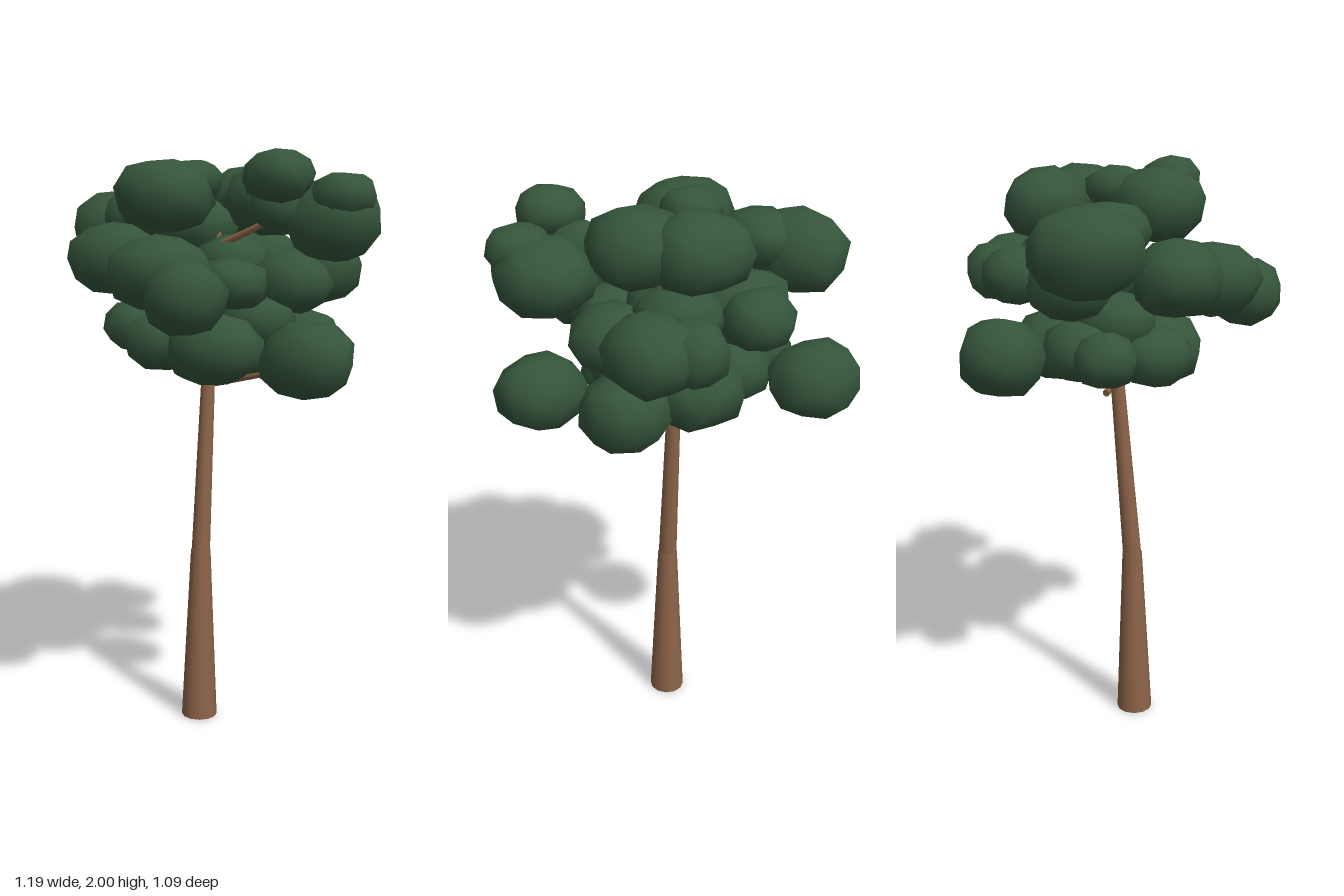
import * as THREE from 'three';
import { mergeVertices } from 'three/addons/utils/BufferGeometryUtils.js';

// Small seeded random generator
function seeded(seed) {
  let s = seed;
  return () => {
    s = (s * 16807) % 2147483647;
    return s / 2147483647;
  };
}

// Lumpy, slightly boxy low-poly ball with smooth normals
function clumpGeometry(random) {
  let geo = new THREE.IcosahedronGeometry(1, 1);
  geo.deleteAttribute('normal');
  geo.deleteAttribute('uv');
  geo = mergeVertices(geo, 1e-3);
  const turn = new THREE.Euler(random() * 6, random() * 6, random() * 6);
  const p = geo.attributes.position;
  const v = new THREE.Vector3();
  const power = 2.3;
  for (let i = 0; i < p.count; i++) {
    v.fromBufferAttribute(p, i).applyEuler(turn);
    const norm = Math.abs(v.x) ** power + Math.abs(v.y) ** power + Math.abs(v.z) ** power;
    v.multiplyScalar((0.94 + random() * 0.13) / norm ** (1 / power));
    p.setXYZ(i, v.x, v.y, v.z);
  }
  return geo;
}

// Tapered round limb between two points
function limb(name, from, to, r0, r1, material, sides = 12) {
  const a = new THREE.Vector3(...from);
  const b = new THREE.Vector3(...to);
  const dir = b.clone().sub(a);
  const mesh = new THREE.Mesh(new THREE.CylinderGeometry(r1, r0, dir.length(), sides), material);
  mesh.name = name;
  mesh.position.copy(a).add(b).multiplyScalar(0.5);
  mesh.quaternion.setFromUnitVectors(new THREE.Vector3(0, 1, 0), dir.normalize());
  return mesh;
}

export function createModel() {
  const tree = new THREE.Group();
  tree.name = 'tree';
  const bark = new THREE.MeshStandardMaterial({ name: 'bark brown', color: 0x8d6449 });
  const leaf = new THREE.MeshStandardMaterial({ name: 'leaf green', color: 0x35553b });

  // Trunk in three slightly bent sections
  tree.add(
    limb('lowerTrunk', [-0.025, 0.003, 0.042], [-0.023, 0.63, 0.032], 0.064, 0.035, bark),
    limb('middleTrunk', [-0.023, 0.62, 0.032], [-0.02, 1.25, -0.019], 0.033, 0.024, bark),
    limb('upperTrunk', [-0.02, 1.24, -0.018], [0, 1.75, -0.05], 0.024, 0.014, bark)
  );

  // Branches reaching into the foliage
  const branches = new THREE.Group();
  branches.name = 'branches';
  const reach = [
    [[-0.02, 1.22, -0.06], [0.36, 1.31, 0.1]],
    [[-0.02, 1.27, -0.02], [-0.2, 1.4, 0]],
    [[0, 1.48, -0.03], [0.12, 1.58, 0.36]],
    [[0, 1.5, -0.03], [0.25, 1.62, -0.36]],
    [[0, 1.55, -0.03], [-0.42, 1.75, -0.09]],
    [[-0.01, 1.69, -0.02], [0.42, 1.86, 0.04]],
  ];
  for (const [from, to] of reach) branches.add(limb('branch', from, to, 0.013, 0.008, bark, 8));
  tree.add(branches);

  // Leaf clumps: centre x, y, z then radii x, y, z
  const tiers = {
    lowerFoliage: [
      [-0.345, 1.42, -0.375, 0.145, 0.125, 0.135],
      [-0.35, 1.41, -0.05, 0.1, 0.09, 0.1],
      [0.41, 1.34, 0.1, 0.155, 0.125, 0.13],
      [0.25, 1.36, -0.2, 0.145, 0.125, 0.13],
      [0, 1.39, -0.23, 0.15, 0.12, 0.14],
      [0.08, 1.36, 0.12, 0.165, 0.12, 0.155],
      [0.09, 1.35, -0.04, 0.11, 0.1, 0.11],
      [-0.14, 1.38, 0.1, 0.13, 0.1, 0.13],
      [-0.12, 1.49, -0.02, 0.13, 0.1, 0.13],
      [-0.17, 1.4, -0.14, 0.13, 0.105, 0.13],
      [0.16, 1.45, -0.04, 0.13, 0.09, 0.12],
    ],
    middleFoliage: [
      [0.255, 1.62, -0.39, 0.14, 0.125, 0.15],
      [0.14, 1.62, -0.44, 0.1, 0.1, 0.11],
      [0.14, 1.55, 0.42, 0.125, 0.115, 0.13],
      [-0.02, 1.62, 0.3, 0.165, 0.12, 0.165],
      [0.15, 1.58, 0.12, 0.115, 0.085, 0.12],
      [0.25, 1.58, -0.12, 0.135, 0.105, 0.13],
      [-0.28, 1.66, 0.17, 0.165, 0.125, 0.145],
      [-0.14, 1.65, -0.35, 0.115, 0.095, 0.11],
      [-0.19, 1.63, -0.17, 0.16, 0.12, 0.14],
      [0.04, 1.63, -0.08, 0.13, 0.11, 0.13],
      [0.08, 1.66, -0.24, 0.14, 0.1, 0.13],
    ],
    upperFoliage: [
      [0.44, 1.78, -0.04, 0.155, 0.125, 0.16],
      [0.49, 1.86, 0.02, 0.105, 0.075, 0.095],
      [0.33, 1.92, 0.16, 0.11, 0.08, 0.11],
      [0.28, 1.83, 0.06, 0.09, 0.08, 0.09],
      [0.17, 1.86, -0.14, 0.16, 0.12, 0.16],
      [0.02, 1.86, -0.26, 0.165, 0.12, 0.14],
      [-0.12, 1.87, 0.11, 0.165, 0.12, 0.155],
      [-0.08, 1.92, -0.02, 0.1, 0.075, 0.1],
      [-0.44, 1.755, -0.1, 0.155, 0.135, 0.175],
      [-0.32, 1.81, -0.05, 0.12, 0.09, 0.145],
      [-0.1, 1.76, -0.1, 0.13, 0.1, 0.13],
    ],
  };
  const random = seeded(7);
  for (const [name, clumps] of Object.entries(tiers)) {
    const tier = new THREE.Group();
    tier.name = name;
    for (const [x, y, z, rx, ry, rz] of clumps) {
      const geo = clumpGeometry(random).scale(rx, ry, rz);
      geo.computeVertexNormals();
      const clump = new THREE.Mesh(geo, leaf);
      clump.name = 'leafClump';
      clump.position.set(x, y, z);
      tier.add(clump);
    }
    tree.add(tier);
  }
  return tree;
}
